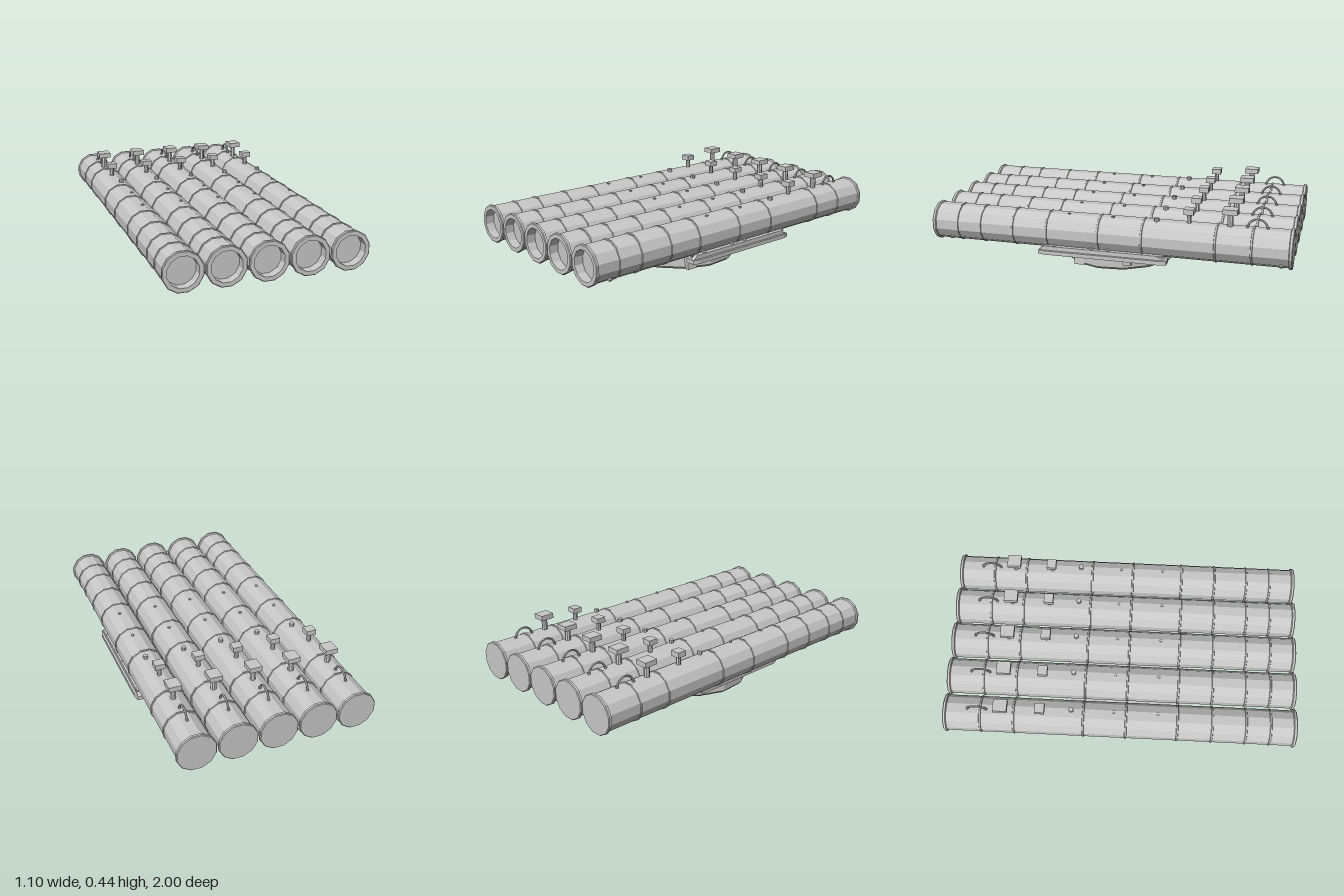
import * as THREE from 'three';

const grey = new THREE.MeshStandardMaterial({ color: 0xc8c8c8, flatShading: true });
grey.name = 'naval grey';

function add(parent, name, geometry, x = 0, y = 0, z = 0) {
  const mesh = new THREE.Mesh(geometry, grey);
  mesh.name = name;
  mesh.position.set(x, y, z);
  parent.add(mesh);
  return mesh;
}

const box = (w, h, d) => new THREE.BoxGeometry(w, h, d);
const post = (r, h, sides = 8) => new THREE.CylinderGeometry(r, r, h, sides);

// Solid from an outline of [x, y] points, extruded along z
function prism(outline, depth) {
  const shape = new THREE.Shape(outline.map(([x, y]) => new THREE.Vector2(x, y)));
  return new THREE.ExtrudeGeometry(shape, { depth, bevelEnabled: false });
}

// Solid from a side outline of [z, y] points, spanning x0 to x1
const sideProfile = (outline, x0, x1) =>
  prism(outline.map(([z, y]) => [-z, y]), x1 - x0).rotateY(Math.PI / 2).translate(x0, 0, 0);

// Solid from a plan outline of [x, z] points, rising from y = 0
const plate = (outline, height) =>
  prism(outline.map(([x, z]) => [x, -z]), height).rotateX(-Math.PI / 2);

// Twelve-sided barrel along z: closed back, raised hoops, recessed front
function barrelGeometry() {
  const body = 0.101, flange = 0.109, hoop = 0.1055;
  const p = [[0, -1], [0.105, -1], [flange, -0.996], [flange, -0.984], [body, -0.98]];
  for (const z of [-0.79, -0.6, -0.206, 0.036, 0.327, 0.523, 0.714, 0.852]) {
    p.push([body, z - 0.006], [hoop, z - 0.004], [hoop, z + 0.004], [body, z + 0.006]);
  }
  p.push([body, 0.98], [flange, 0.984], [flange, 0.996], [0.105, 1],
    [0.083, 1], [0.083, 0.95], [0, 0.95]);
  const g = new THREE.LatheGeometry(p.map(([r, z]) => new THREE.Vector2(r, z)), 12, Math.PI / 12);
  return g.rotateX(Math.PI / 2);
}

// One barrel with its fittings; local origin on the barrel axis
function makeTube(barrel) {
  const tube = new THREE.Group();
  tube.name = 'launchTube';
  add(tube, 'barrel', barrel);

  // Square-headed posts
  add(tube, 'largePost', post(0.016, 0.09), 0, 0.13, -0.665);
  add(tube, 'largePostHead', box(0.07, 0.028, 0.078), 0, 0.179, -0.665);
  add(tube, 'smallPost', post(0.013, 0.07), 0, 0.12, -0.447);
  add(tube, 'smallPostHead', box(0.056, 0.03, 0.054), 0, 0.161, -0.447);

  // Lifting handle
  const arc = new THREE.TorusGeometry(0.053, 0.006, 6, 12, Math.PI).rotateY(Math.PI / 2);
  add(tube, 'liftingHandle', arc, 0, 0.092, -0.808);
  for (const z of [-0.755, -0.861]) add(tube, 'handleFoot', post(0.008, 0.014), 0, 0.1, z);

  // Studs along the top
  add(tube, 'topValve', post(0.014, 0.03), 0.018, 0.1, -0.275);
  for (const z of [-0.035, 0.215]) add(tube, 'topStud', post(0.009, 0.02), 0.018, 0.094, z);

  // Studs along the lower left flank
  for (const z of [0.9, 0.285, 0.077, -0.02, -0.945]) {
    const stud = add(tube, 'sideStud', post(0.01, 0.022), 0.071, -0.071, z);
    stud.rotation.z = -Math.PI * 0.75;
  }
  return tube;
}

export function createModel() {
  const model = new THREE.Group();
  model.name = 'fiveTubeLauncher';

  // Row of five tubes
  const barrel = barrelGeometry();
  for (let i = -2; i <= 2; i++) {
    const tube = makeTube(barrel);
    tube.position.set(-0.002 + i * 0.2215, 0.247, 0);
    model.add(tube);
  }

  // Fourteen-sided turntable
  const profile = [[0, 0], [0.352, 0], [0.366, 0.014], [0.366, 0.096], [0.371, 0.099],
    [0.371, 0.11], [0.354, 0.115], [0.354, 0.13], [0, 0.13]];
  const drum = new THREE.LatheGeometry(profile.map(([r, y]) => new THREE.Vector2(r, y)), 14, 0.082);
  drum.scale(1, 1, 0.942);
  add(model, 'turntable', drum, 0, 0, 0.043);
  add(model, 'turntableBox', box(0.02, 0.035, 0.045), 0.355, 0.055, -0.083);
  const gusset = prism([[0.29, 0.1], [0.315, 0.006], [0.335, 0.006], [0.33, 0.07]], 0.06);
  add(model, 'turntableGusset', gusset, 0, 0, 0.175);

  // Carriage plate with undercut ends and a tapered nose at the front
  const deck = sideProfile([[0.34, 0.172], [0.3, 0.127], [-0.285, 0.127], [-0.322, 0.172]], -0.47, 0.53);
  add(model, 'carriagePlate', deck);
  const nose = prism([[-0.185, 0.127], [0.18, 0.127], [0.13, 0.172], [-0.13, 0.172]], 0.12);
  add(model, 'carriageNose', nose, 0, 0, 0.26);

  // Rail along the left edge
  const rail = plate([[0.48, 0.375], [0.535, 0.375], [0.545, 0.34], [0.545, -0.31],
    [0.535, -0.345], [0.48, -0.345]], 0.022);
  add(model, 'sideRail', rail, 0, 0.127, 0);
  const ramp = sideProfile([[0.37, 0.149], [-0.34, 0.149], [-0.29, 0.172], [0.345, 0.172]], 0.51, 0.532);
  add(model, 'railStep', ramp);
  return model;
}
